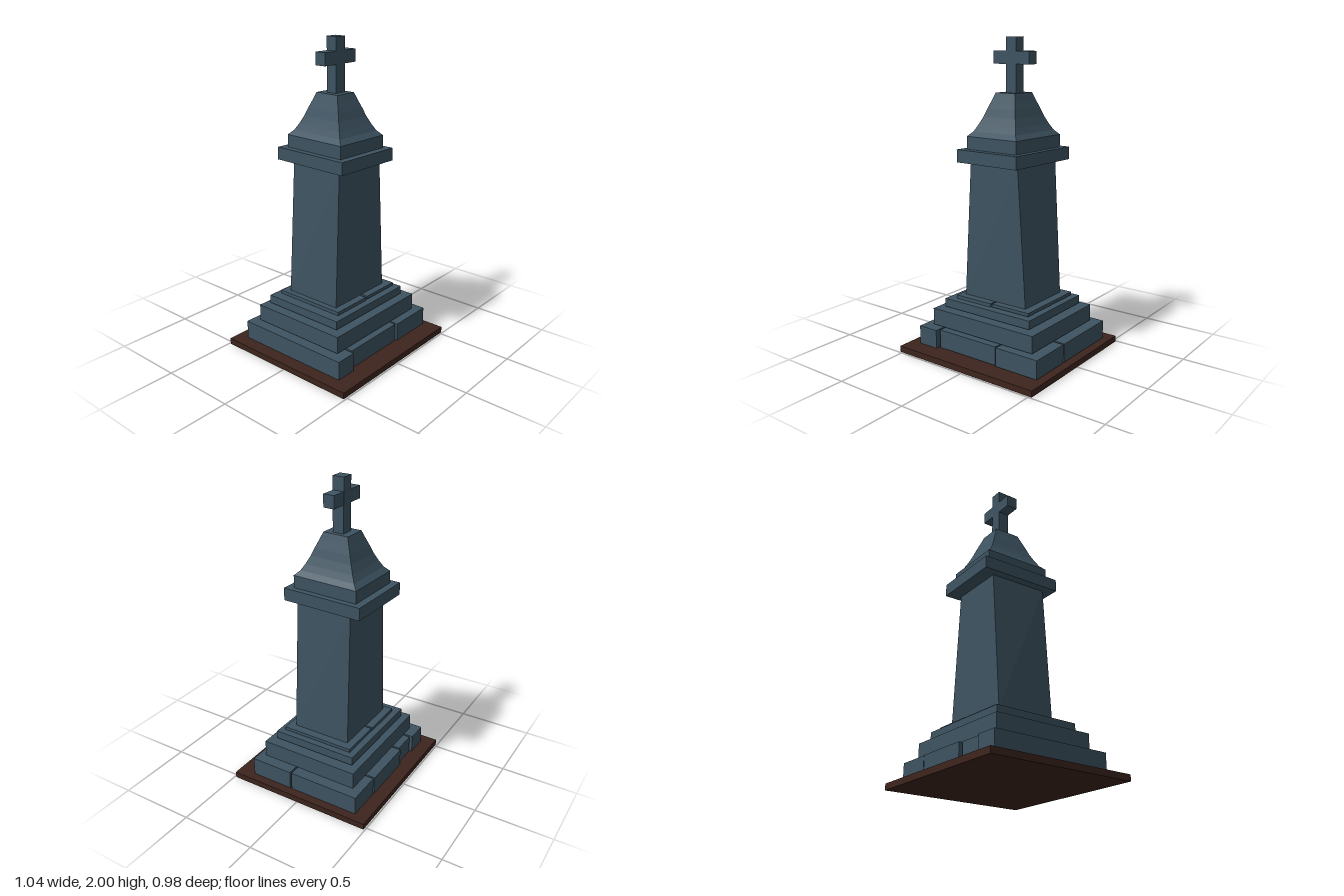
import * as THREE from 'three';

const stone = new THREE.MeshStandardMaterial({ color: 0x3d5361, flatShading: true });
const earth = new THREE.MeshStandardMaterial({ color: 0x3d241d, flatShading: true });
const LEAN = -0.04; // the upper stones sit slightly turned on the base

// Box given by its limits on each axis
function block(name, [x0, x1], [y0, y1], [z0, z1], material = stone) {
  const mesh = new THREE.Mesh(new THREE.BoxGeometry(x1 - x0, y1 - y0, z1 - z0), material);
  mesh.position.set((x0 + x1) / 2, (y0 + y1) / 2, (z0 + z1) / 2);
  mesh.name = name;
  return mesh;
}

// Closed four-sided loft through rectangular sections [y, halfX, halfZ, turn]
function loft(name, sections) {
  const points = [], index = [];
  for (const [y, hx, hz, turn = 0] of sections) {
    const c = Math.cos(turn), s = Math.sin(turn);
    for (const [sx, sz] of [[-1, 1], [1, 1], [1, -1], [-1, -1]]) {
      const x = sx * hx, z = sz * hz;
      points.push(x * c + z * s, y, z * c - x * s);
    }
  }
  for (let i = 0; i < sections.length - 1; i++) {
    for (let k = 0; k < 4; k++) {
      const a = i * 4 + k, b = i * 4 + (k + 1) % 4;
      index.push(a, b, b + 4, a, b + 4, a + 4);
    }
  }
  const t = (sections.length - 1) * 4;
  index.push(0, 2, 1, 0, 3, 2, t, t + 1, t + 2, t, t + 2, t + 3);
  const indexed = new THREE.BufferGeometry();
  indexed.setAttribute('position', new THREE.Float32BufferAttribute(points, 3));
  indexed.setIndex(index);
  const geometry = indexed.toNonIndexed();
  geometry.computeVertexNormals();
  const mesh = new THREE.Mesh(geometry, stone);
  mesh.name = name;
  return mesh;
}

export function createModel() {
  const model = new THREE.Group();
  model.name = 'monument';

  // Ground slab
  model.add(block('groundSlab', [-0.52, 0.52], [0, 0.04], [-0.49, 0.49], earth));

  // Lowest course of separate stones with open joints
  const course = new THREE.Group();
  course.name = 'foundationStones';
  const stones = [
    [[-0.44, -0.3], [-0.405, 0.385]],
    [[-0.288, 0.158], [0.085, 0.36]],
    [[0.168, 0.47], [0.083, 0.37]],
    [[0.243, 0.47], [-0.402, 0.071]],
    [[-0.121, 0.233], [-0.406, 0.071]],
    [[-0.288, -0.132], [-0.39, 0.071]],
  ];
  stones.forEach(([x, z], i) => course.add(block(`foundationStone${i + 1}`, x, [0.045, 0.165], z)));
  model.add(course);

  // Steps, the top one split in two
  model.add(
    block('lowerStep', [-0.377, 0.402], [0.171, 0.28], [-0.345, 0.32]),
    block('middleStep', [-0.322, 0.341], [0.29, 0.344], [-0.302, 0.267]),
    block('upperStepRight', [-0.258, 0.016], [0.346, 0.369], [-0.262, 0.225]),
    block('upperStepLeft', [0.03, 0.305], [0.35, 0.371], [-0.262, 0.225]),
  );

  // Tapered shaft with a slight twist towards the top
  const shaft = loft('shaft', [[0.37, 0.236, 0.195], [1.24, 0.185, 0.191, LEAN]]);
  shaft.position.set(0.014, 0, -0.018);
  model.add(shaft);

  // Turned upper part: capital, curved roof and cross
  const top = new THREE.Group();
  top.name = 'upperPart';
  top.position.set(0.011, 0, -0.028);
  top.rotation.y = LEAN;
  top.add(block('capital', [-0.235, 0.231], [1.24, 1.32], [-0.27, 0.27]));

  const roofProfile = [
    [1.32, 1], [1.4, 1], [1.43, 0.86], [1.47, 0.755], [1.52, 0.645],
    [1.57, 0.56], [1.62, 0.465], [1.665, 0.384],
  ];
  top.add(loft('roof', roofProfile.map(([y, s]) => [y, 0.193 * s, 0.222 * s])));

  const cross = new THREE.Group();
  cross.name = 'cross';
  cross.position.x = 0.006;
  cross.rotation.y = 0.01;
  cross.add(
    block('crossPost', [-0.039, 0.039], [1.66, 2], [-0.038, 0.038]),
    block('crossArm', [-0.136, 0.136], [1.837, 1.916], [-0.037, 0.037]),
  );
  top.add(cross);
  model.add(top);

  return model;
}
